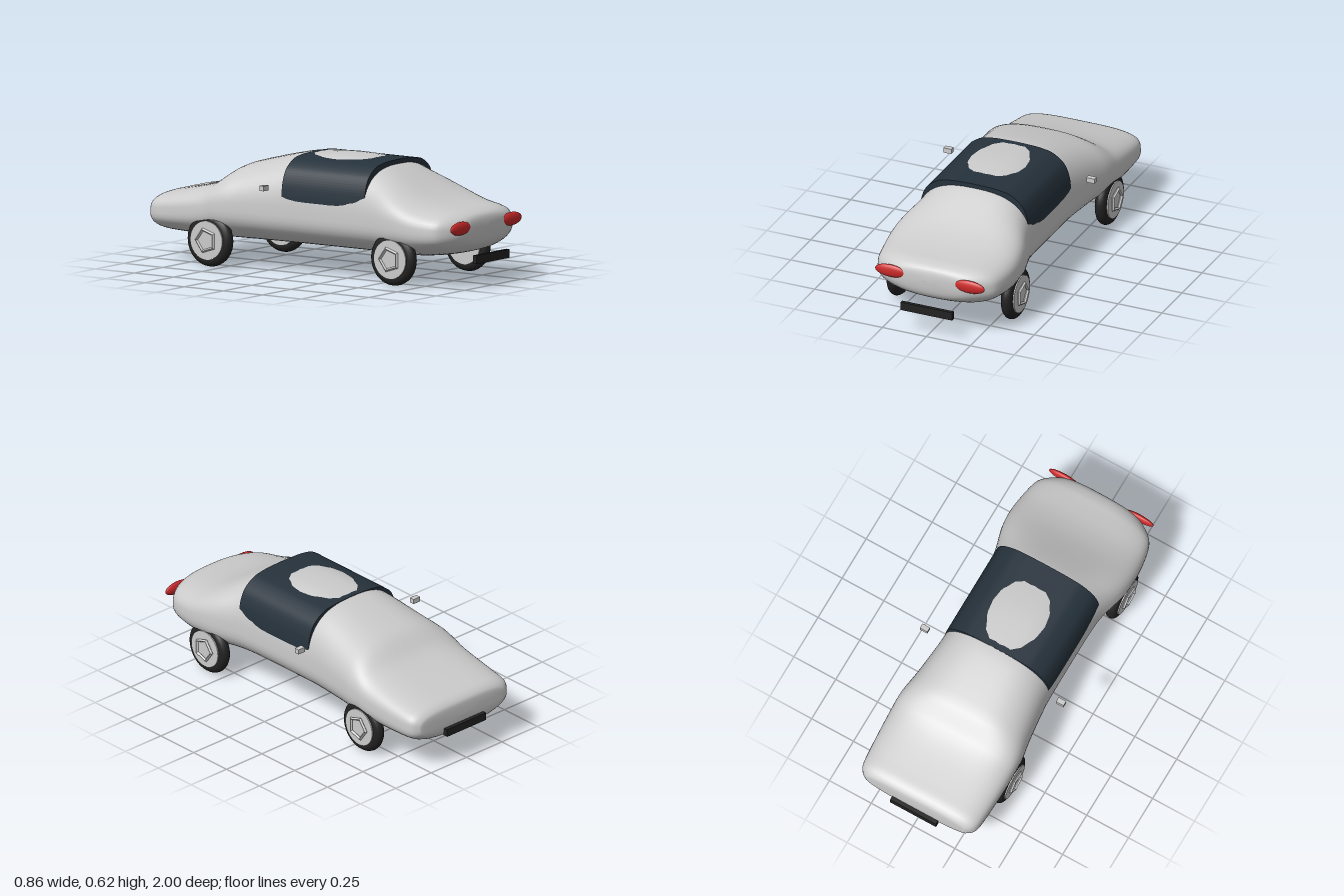
import * as THREE from 'three';

const grey = new THREE.MeshStandardMaterial({ color: 0xcccccc });
const black = new THREE.MeshStandardMaterial({ color: 0x222222 });
const glass = new THREE.MeshStandardMaterial({ color: 0x26323c });
const red = new THREE.MeshStandardMaterial({ color: 0xcc2a2a });

// Body stations from nose to tail: z, half width, bottom, top, squareness of the upper half
const STATIONS = [
  [0.967, 0.001, 0.31, 0.312, 2.5],
  [0.962, 0.16, 0.25, 0.35, 2.5],
  [0.945, 0.24, 0.21, 0.377, 2.6],
  [0.9, 0.31, 0.18, 0.395, 2.8],
  [0.85, 0.345, 0.163, 0.403, 3],
  [0.75, 0.365, 0.145, 0.423, 3],
  [0.65, 0.372, 0.135, 0.458, 3],
  [0.55, 0.363, 0.13, 0.508, 2.9],
  [0.45, 0.336, 0.13, 0.562, 2.7],
  [0.38, 0.321, 0.13, 0.591, 2.7],
  [0.28, 0.315, 0.13, 0.607, 2.7],
  [0.1, 0.314, 0.13, 0.618, 2.7],
  [-0.1, 0.315, 0.13, 0.608, 2.7],
  [-0.2, 0.32, 0.13, 0.597, 2.7],
  [-0.38, 0.341, 0.13, 0.555, 2.7],
  [-0.49, 0.36, 0.13, 0.52, 2.7],
  [-0.59, 0.363, 0.13, 0.447, 3],
  [-0.7, 0.36, 0.132, 0.406, 3.4],
  [-0.85, 0.352, 0.138, 0.372, 3.6],
  [-0.93, 0.342, 0.147, 0.356, 3.6],
  [-0.967, 0.31, 0.17, 0.332, 3.6],
  [-0.977, 0.26, 0.195, 0.305, 3.4],
  [-0.98, 0.001, 0.25, 0.252, 3],
];

function add(parent, name, geometry, material, x = 0, y = 0, z = 0) {
  const mesh = new THREE.Mesh(geometry, material);
  mesh.name = name;
  mesh.position.set(x, y, z);
  parent.add(mesh);
  return mesh;
}

// Smooth value between neighbouring stations
function station(t) {
  const last = STATIONS.length - 1;
  const i = Math.min(Math.floor(t), last - 1);
  const f = t - i;
  const at = (k) => STATIONS[Math.max(0, Math.min(last, k))];
  return at(i).map((b, k) => {
    const a = at(i - 1)[k], c = at(i + 1)[k], d = at(i + 2)[k];
    return b + 0.5 * f * (c - a + f * (2 * a - 5 * b + 4 * c - d + f * (3 * (b - c) + d - a)));
  });
}

// Loft of superelliptic rings
function bodyGeometry() {
  const seg = 56, sub = 3, rows = (STATIONS.length - 1) * sub;
  const positions = [], index = [];
  const pow = (v, e) => Math.sign(v) * Math.abs(v) ** e;
  for (let i = 0; i <= rows; i++) {
    const [z, w, bottom, top, n] = station(i / sub);
    const mid = Math.min(0.3, (bottom + top) / 2);
    for (let j = 0; j < seg; j++) {
      const a = (j / seg) * Math.PI * 2;
      const up = Math.sin(a) >= 0;
      const e = 2 / (up ? n : 2.4);
      const h = up ? top - mid : mid - bottom;
      positions.push(w * pow(Math.cos(a), e), mid + h * pow(Math.sin(a), e), z);
      if (i < rows) {
        const p = i * seg + j, q = i * seg + ((j + 1) % seg);
        index.push(p, p + seg, q, q, p + seg, q + seg);
      }
    }
  }
  const g = new THREE.BufferGeometry();
  g.setAttribute('position', new THREE.Float32BufferAttribute(positions, 3));
  g.setIndex(index);
  g.computeVertexNormals();
  return g;
}

// Straight arch over the cabin; the crown of the body rises through it
function canopyGeometry() {
  const half = [[0.311, 0.37], [0.308, 0.42], [0.299, 0.475], [0.278, 0.527], [0.248, 0.56],
    [0.2, 0.589], [0.15, 0.6], [0.1, 0.605]];
  const arch = [...half, [0, 0.608], ...half.map(([x, y]) => [-x, y]).reverse()];
  const curve = new THREE.SplineCurve(arch.map(([x, y]) => new THREE.Vector2(x, y)));
  const g = new THREE.ExtrudeGeometry(new THREE.Shape(curve.getPoints(64)), { depth: 0.53, bevelEnabled: false });
  return g.translate(0, 0, -0.13);
}

function makeWheel(name, side, z) {
  const wheel = new THREE.Group();
  wheel.name = name;
  wheel.position.set(side * 0.326, 0.141, z);
  const tyre = add(wheel, 'tyre', new THREE.TorusGeometry(0.105, 0.035, 16, 40), black);
  tyre.rotation.y = Math.PI / 2;
  tyre.scale.z = 0.9;
  const hub = add(wheel, 'hub', new THREE.CylinderGeometry(0.101, 0.101, 0.074, 32), grey);
  hub.rotation.z = Math.PI / 2;
  const trim = add(wheel, 'pentagonTrim', new THREE.TorusGeometry(0.06, 0.009, 4, 5).toNonIndexed(), grey, side * 0.043);
  trim.geometry.computeVertexNormals();
  trim.rotation.y = Math.PI / 2;
  return wheel;
}

export function createModel() {
  const car = new THREE.Group();
  car.name = 'car';

  add(car, 'body', bodyGeometry(), grey);
  add(car, 'canopy', canopyGeometry(), glass);

  // Bumpers
  add(car, 'frontBumper', new THREE.BoxGeometry(0.294, 0.045, 0.02), black, 0, 0.148, 0.99);
  add(car, 'rearBumper', new THREE.BoxGeometry(0.274, 0.042, 0.026), black, 0, 0.192, -0.987);

  // Paired parts
  for (const [label, side] of [['left', 1], ['right', -1]]) {
    const lamp = add(car, label + 'Headlight', new THREE.SphereGeometry(1, 32, 16), red, side * 0.225, 0.317, 0.955);
    lamp.scale.set(0.087, 0.035, 0.017);
    add(car, label + 'Mirror', new THREE.BoxGeometry(0.045, 0.027, 0.028), grey, side * 0.407, 0.455, -0.17);
    car.add(makeWheel(label + 'FrontWheel', side, 0.603));
    car.add(makeWheel(label + 'RearWheel', side, -0.571));
  }
  return car;
}
